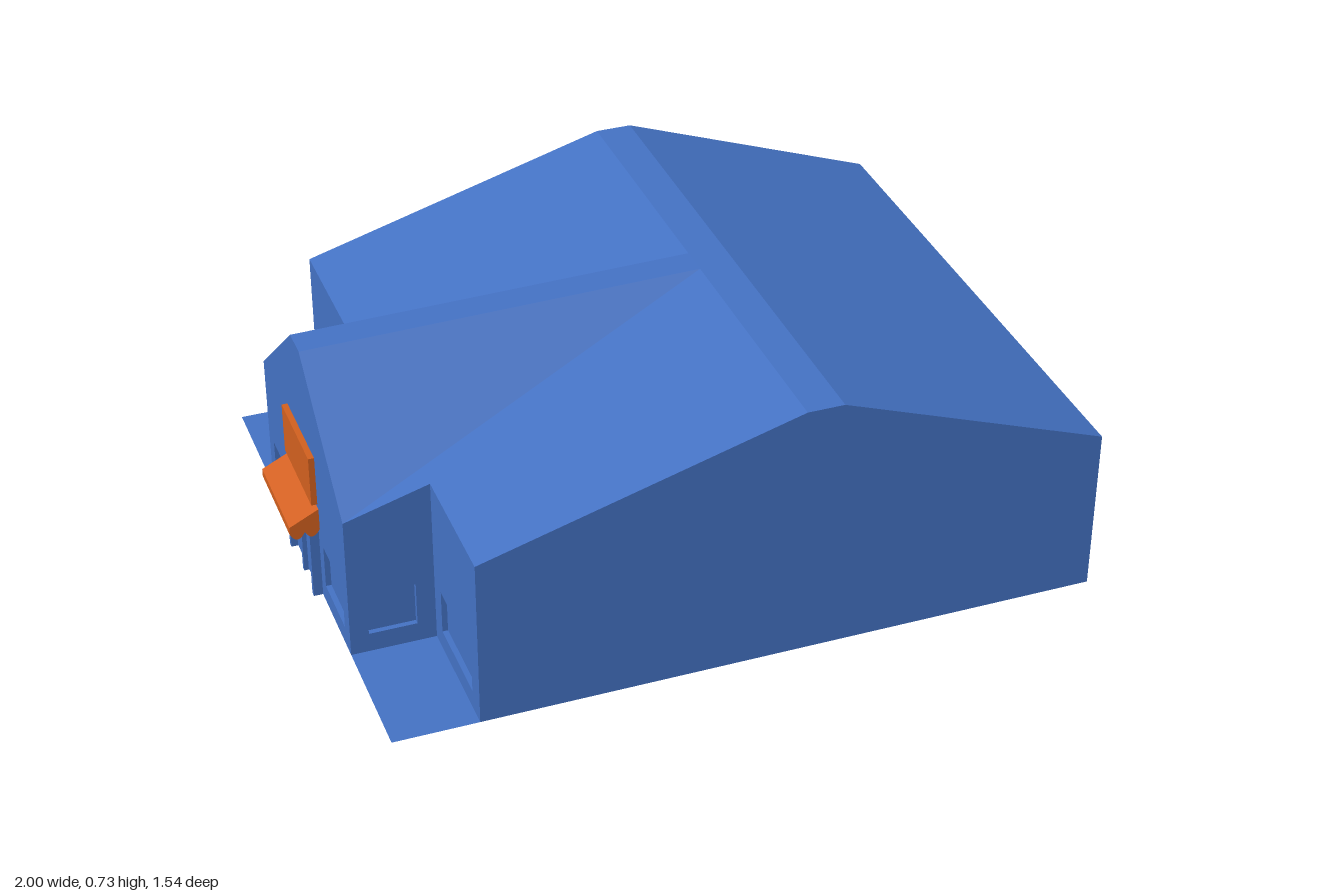
import * as THREE from 'three';

const blue = new THREE.MeshStandardMaterial({ color: 0x4472c4, side: THREE.DoubleSide });
const orange = new THREE.MeshStandardMaterial({ color: 0xd2601f, side: THREE.DoubleSide });

// Key dimensions
const FRONT = -0.92, RECESS = -0.69, BACK = 1, HALF = 0.77, WING = 0.4;
const RIDGE_A = 0.17, RIDGE_B = 0.27, RIDGE_Y = 0.73, CAP = 0.043;
const EAVE_BACK = 0.465, WING_EAVE = 0.415, WING_TOP = 0.71;
const roofY = x => WING_EAVE + (x - FRONT) * (RIDGE_Y - WING_EAVE) / (RIDGE_A - FRONT);

export function createModel() {
  const model = new THREE.Group();

  const add = (parent, name, geometry, material = blue) => {
    const mesh = new THREE.Mesh(geometry, material);
    mesh.name = name;
    parent.add(mesh);
    return mesh;
  };

  // Flat convex panel from its corners
  const panel = (name, corners) => {
    const points = [];
    for (let i = 1; i < corners.length - 1; i++) points.push(...corners[0], ...corners[i], ...corners[i + 1]);
    const geometry = new THREE.BufferGeometry();
    geometry.setAttribute('position', new THREE.Float32BufferAttribute(points, 3));
    geometry.computeVertexNormals();
    return add(model, name, geometry);
  };

  const shapeOf = points => new THREE.Shape(points.map(p => new THREE.Vector2(...p)));
  const rect = (u0, v0, u1, v1) => new THREE.Path(
    [[u0, v0], [u0, v1], [u1, v1], [u1, v0]].map(p => new THREE.Vector2(...p)));

  // Wall drawn in (along, up), facing local +z, with pocketed windows
  const wall = (name, points, angle, distance, windows = [], depth = 0.015) => {
    const group = new THREE.Group();
    group.name = name;
    const shape = shapeOf(points);
    for (const [u0, v0, u1, v1] of windows) {
      shape.holes.push(rect(u0, v0, u1, v1));
      const pocket = new THREE.BoxGeometry(u1 - u0, v1 - v0, depth);
      const index = Array.from(pocket.index.array);
      index.splice(24, 6); // open outer side
      pocket.setIndex(index);
      pocket.clearGroups();
      add(group, 'window', pocket).position.set((u0 + u1) / 2, (v0 + v1) / 2, -depth / 2);
    }
    add(group, name + 'Surface', new THREE.ShapeGeometry(shape)).position.z = 0;
    group.rotation.y = angle;
    group.position.set(Math.sin(angle) * distance, 0, Math.cos(angle) * distance);
    model.add(group);
    return group;
  };

  const W0 = 0.055, W1 = 0.18;
  const mirror = (points, s) => points.map(([u, v]) => [u * s, v]);
  const mirrorWindow = ([a, b, c, d], s) => s > 0 ? [a, b, c, d] : [-c, b, -a, d];

  // Long back wall
  wall('backWall', [[-HALF, 0], [HALF, 0], [HALF, EAVE_BACK], [-HALF, EAVE_BACK]], Math.PI / 2, BACK);

  // Gable ends, recessed corner walls, wing side walls and porch floors
  const gable = [[RECESS, 0], [BACK, 0], [BACK, EAVE_BACK], [RIDGE_B, RIDGE_Y], [RIDGE_A, RIDGE_Y], [RECESS, roofY(RECESS)]];
  const side = [[FRONT, 0], [RECESS, 0], [RECESS, roofY(RECESS)], [FRONT, WING_EAVE]];
  const corner = [[WING, 0], [HALF, 0], [HALF, roofY(RECESS)], [WING, roofY(RECESS)]];
  for (const s of [1, -1]) {
    const angle = s > 0 ? 0 : Math.PI;
    wall('gableWall', mirror(gable, s), angle, HALF);
    wall('wingSideWall', mirror(side, s), angle, WING, [mirrorWindow([-0.87, W0, -0.74, W1], s)]);
    wall('cornerWall', mirror(corner, s), -Math.PI / 2, -RECESS, [mirrorWindow([0.455, W0, 0.71, W1], s)]);
    panel('porchFloor', [[FRONT, 0, s * WING], [FRONT, 0, s * HALF], [RECESS, 0, s * HALF], [RECESS, 0, s * WING]]);

    // Wing roof slope
    const slope = [[FRONT, WING_EAVE, s * WING], [RIDGE_A, RIDGE_Y, s * CAP], [FRONT, WING_TOP, s * CAP]];
    panel('wingRoof', s > 0 ? slope : slope.reverse());
  }

  // Entrance wall: two windows and the door opening
  wall('entranceWall',
    [[-WING, 0], [WING, 0], [WING, WING_EAVE], [CAP, WING_TOP], [-CAP, WING_TOP], [-WING, WING_EAVE]],
    -Math.PI / 2, -FRONT, [[-0.35, W0, -0.165, W1], [0.165, W0, 0.35, W1]]);

  // Roof: entrance slope with the wing cut out, ridge cap and back slope
  const outline = [[RIDGE_A, CAP], [FRONT, WING], [RECESS, WING], [RECESS, HALF], [RIDGE_A, HALF]];
  const cut = [...outline, ...outline.map(([x, z]) => [x, -z]).reverse()];
  const slope = new THREE.ShapeGeometry(shapeOf(cut));
  slope.rotateX(-Math.PI / 2);
  const pos = slope.attributes.position;
  for (let i = 0; i < pos.count; i++) pos.setY(i, roofY(pos.getX(i)));
  slope.computeVertexNormals();
  add(model, 'entranceSideRoof', slope);
  const strip = (name, x0, y0, x1, y1, z) =>
    panel(name, [[x0, y0, -z], [x0, y0, z], [x1, y1, z], [x1, y1, -z]]);
  strip('ridgeCap', RIDGE_A, RIDGE_Y, RIDGE_B, RIDGE_Y, HALF);
  strip('backRoof', RIDGE_B, RIDGE_Y, BACK, EAVE_BACK, HALF);
  strip('wingRidgeCap', FRONT, WING_TOP, RIDGE_A, RIDGE_Y, CAP);

  // Double door with a projecting frame
  const door = new THREE.Group();
  door.name = 'door';
  const box = (name, w, h, d, x, y, z, material = blue, parent = door) =>
    add(parent, name, new THREE.BoxGeometry(w, h, d), material).position.set(x, y, z);
  for (const s of [1, -1]) {
    box('doorPost', 0.025, 0.21, 0.016, FRONT - 0.0125, 0.105, s * 0.117);
    box('doorLeaf', 0.008, 0.18, 0.095, FRONT - 0.004, 0.097, s * 0.056);
  }
  box('doorHeader', 0.025, 0.016, 0.218, FRONT - 0.0125, 0.202, 0);
  box('doorMullion', 0.02, 0.194, 0.014, FRONT - 0.01, 0.097, 0);
  model.add(door);

  // Sign board above the door
  box('signBoard', 0.016, 0.145, 0.27, FRONT - 0.008, 0.368, -0.003, orange, model);

  // Awning: sloped top with a scalloped lower edge
  const profile = new THREE.Shape();
  profile.moveTo(FRONT, 0.285);
  profile.lineTo(-1, 0.245);
  profile.lineTo(-1, 0.222);
  profile.quadraticCurveTo(-0.98, 0.185, -0.96, 0.222);
  profile.quadraticCurveTo(-0.94, 0.185, FRONT, 0.222);
  profile.closePath();
  const awning = new THREE.ExtrudeGeometry(profile, { depth: 0.285, bevelEnabled: false, curveSegments: 6 });
  add(model, 'awning', awning, orange).position.z = -0.145;

  return model;
}
